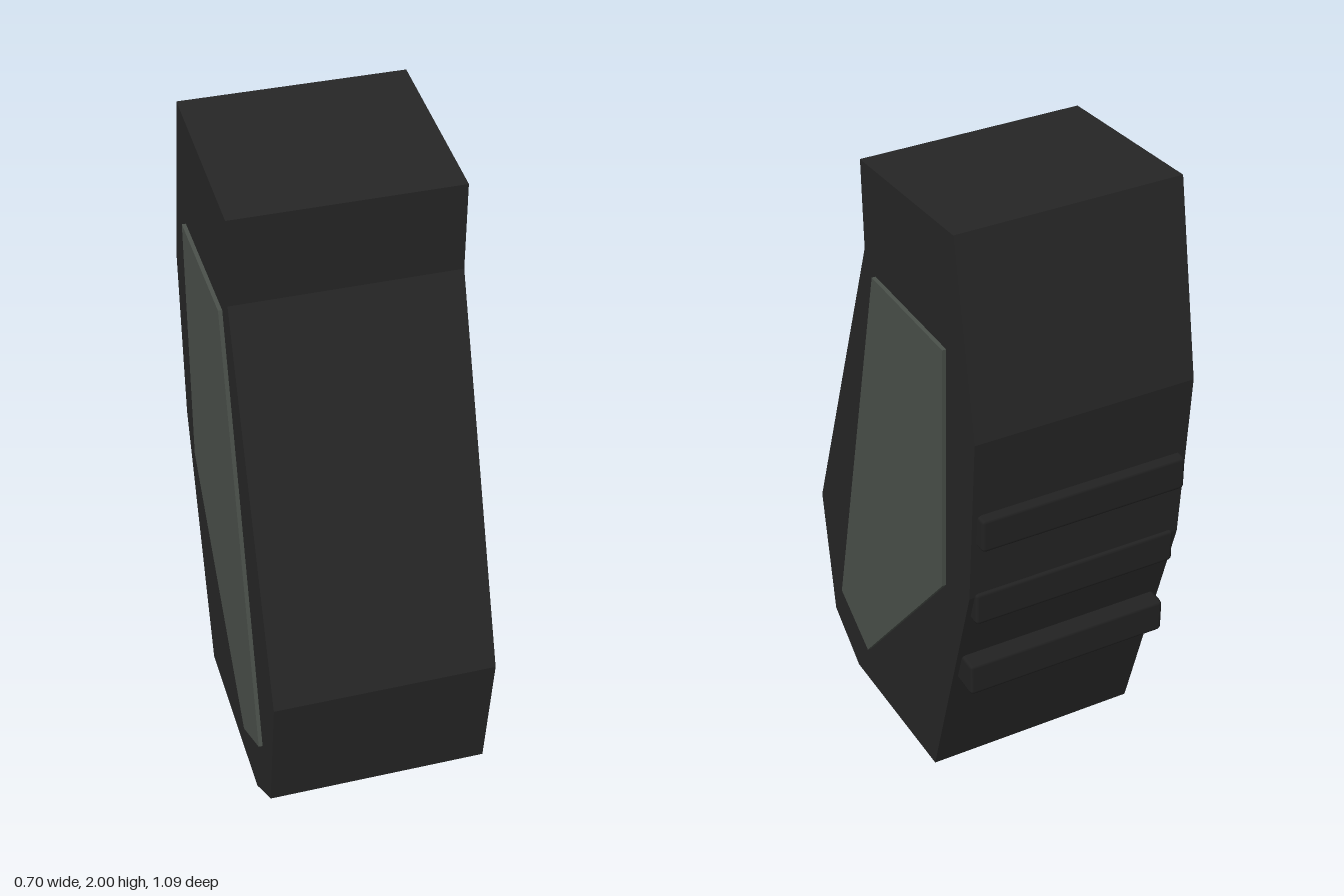
import * as THREE from 'three';
import { RoundedBoxGeometry } from 'three/addons/geometries/RoundedBoxGeometry.js';

// Extrude a (z, y) side profile across x, centred on the given x
function slab(profile, width, x) {
  const shape = new THREE.Shape(profile.map(([z, y]) => new THREE.Vector2(z, y)));
  const geometry = new THREE.ExtrudeGeometry(shape, { depth: width, bevelEnabled: false });
  geometry.translate(0, 0, -width / 2);
  geometry.rotateY(-Math.PI / 2);
  geometry.translate(x, 0, 0);
  return geometry;
}

export function createModel() {
  const group = new THREE.Group();
  const bodyDark = new THREE.MeshStandardMaterial({ color: 0x262626 });
  const panelGrey = new THREE.MeshStandardMaterial({ color: 0x4a504a });
  const ribDark = new THREE.MeshStandardMaterial({ color: 0x222222 });
  bodyDark.name = 'bodyDark';
  panelGrey.name = 'panelGrey';
  ribDark.name = 'ribDark';

  const add = (name, geometry, material) => {
    const mesh = new THREE.Mesh(geometry, material);
    mesh.name = name;
    group.add(mesh);
    return mesh;
  };

  // Main faceted body
  const halfWidth = 0.336;
  add('body', slab([
    [0.14, 1.945], [0.132, 1.67], [0.545, 0.54], [0.48, 0.115], [0.31, 0],
    [-0.25, 0.04], [-0.492, 0.87], [-0.53, 1.42], [-0.42, 2.0],
  ], halfWidth * 2, 0), bodyDark);

  // Raised side panels, mirrored
  const panel = [
    [0.065, 1.615], [0.395, 0.255], [0.205, 0.15], [-0.345, 0.815], [-0.37, 1.63],
  ];
  for (const side of [1, -1]) {
    add(side > 0 ? 'leftPanel' : 'rightPanel',
      slab(panel, 0.02, side * (halfWidth + 0.002)), panelGrey);
  }

  // Grip ribs across the back: [centre y, rearmost z]
  [[1.115, -0.542], [0.828, -0.502], [0.536, -0.466]].forEach(([y, z], i) => {
    const depth = 0.14;
    add(`gripRib${i + 1}`, new RoundedBoxGeometry(0.64, 0.11, depth, 1, 0.012), ribDark)
      .position.set(0, y, z + depth / 2);
  });

  return group;
}
